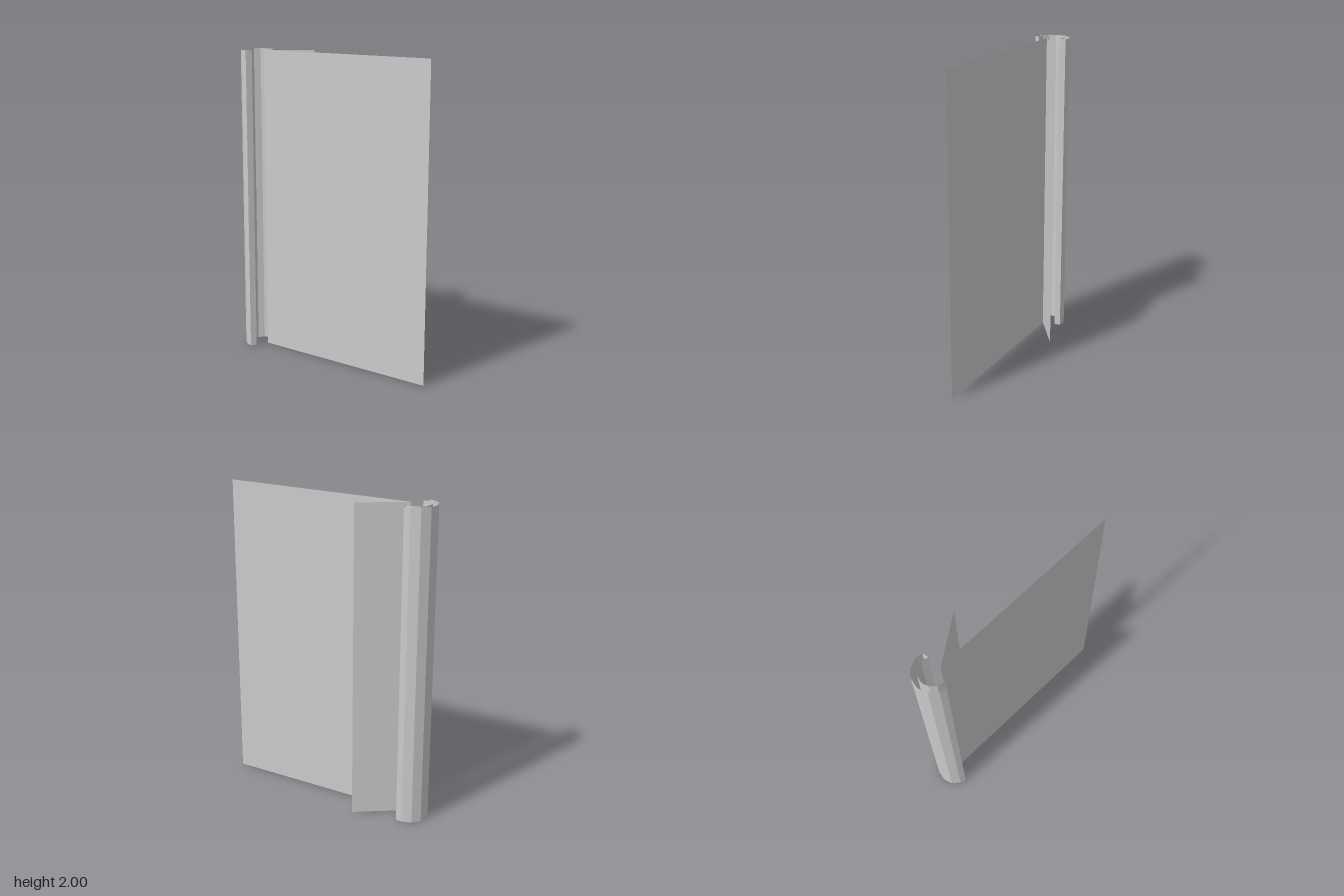
import * as THREE from 'three';

const HEIGHT = 2;
const material = new THREE.MeshStandardMaterial({
  color: 0xcccccc, flatShading: true, side: THREE.DoubleSide,
});

// Upright open-ended wall that follows a floor outline of [x, z] points
function wall(name, outline) {
  const positions = [];
  for (let i = 0; i < outline.length - 1; i++) {
    const [ax, az] = outline[i];
    const [bx, bz] = outline[i + 1];
    positions.push(
      ax, 0, az, bx, 0, bz, bx, HEIGHT, bz,
      ax, 0, az, bx, HEIGHT, bz, ax, HEIGHT, az,
    );
  }
  const geometry = new THREE.BufferGeometry();
  geometry.setAttribute('position', new THREE.Float32BufferAttribute(positions, 3));
  geometry.computeVertexNormals();
  const mesh = new THREE.Mesh(geometry, material);
  mesh.name = name;
  return mesh;
}

// Points of an arc about the channel's axis, angles in degrees from +x
function arc(radius, angles) {
  return angles.map((deg) => {
    const a = THREE.MathUtils.degToRad(deg);
    return [-0.06 + radius * Math.cos(a), -0.58 + radius * Math.sin(a)];
  });
}

export function createModel() {
  const model = new THREE.Group();
  model.name = 'hingedPanel';

  const hinge = [-0.06, -0.53];

  // Wide panel and short flap meeting at the hinge line
  model.add(wall('mainPanel', [[0.17, 0.7], hinge]));
  model.add(wall('returnFlap', [hinge, [0.17, -0.3]]));

  // Hollow C-shaped channel behind the hinge, open to the front
  const outer = arc(0.12, [5, -15, -45, -75, -105, -135, -165, -185]);
  const inner = arc(0.085, [17, -15, -45, -75, -105, -135, -165, -197]).reverse();
  model.add(wall('channel', [...outer, ...inner, outer[0]]));

  return model;
}
